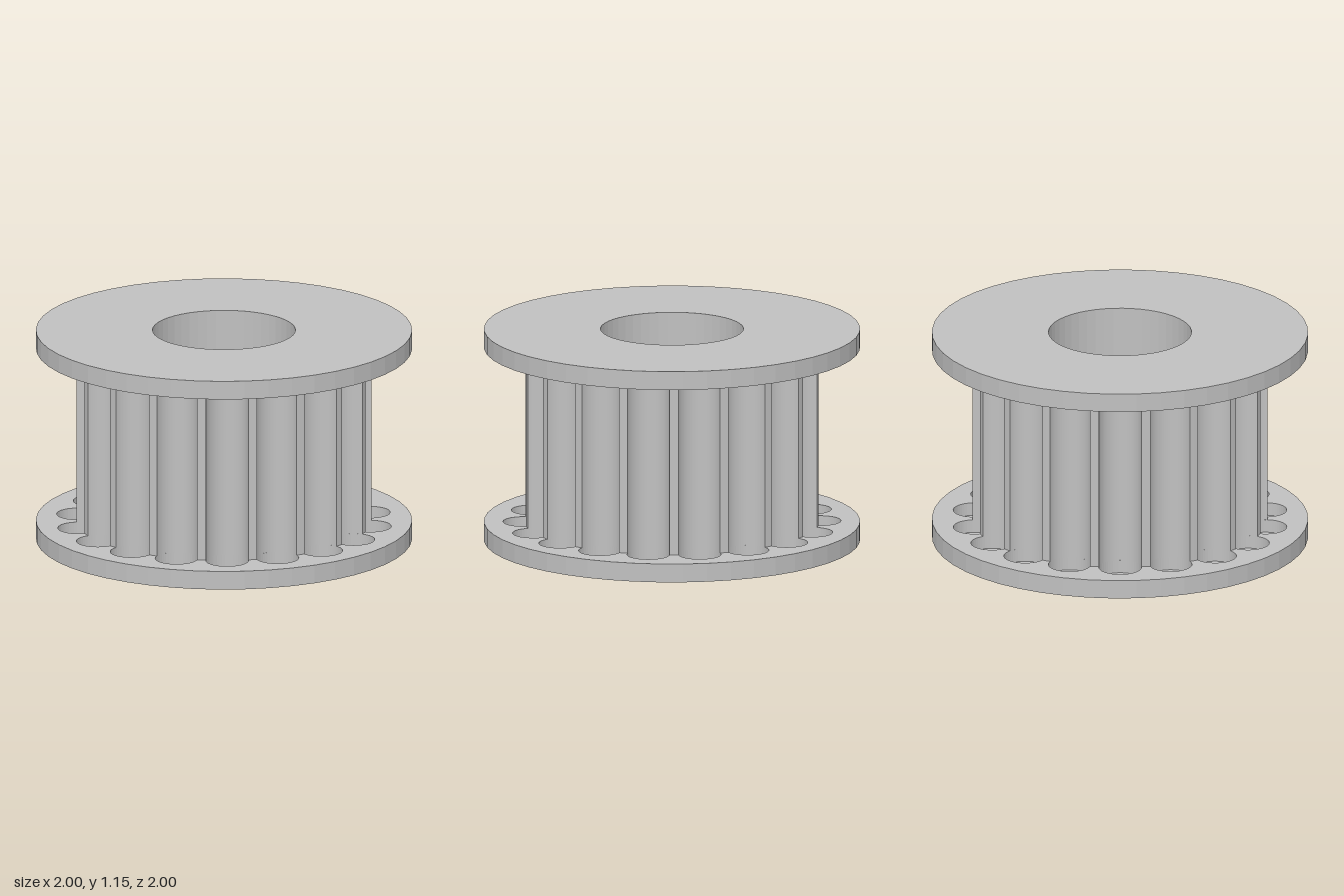
import * as THREE from 'three';

const TEETH = 18, STEP = (Math.PI * 2) / TEETH;
const RIM = 1, BORE = 0.38, CORE = 0.785, GROOVE = 0.113;
const HEIGHT = 1.15, FLANGE = 0.1, POCKET = 0.07;

function circlePath(Type, x, y, r) {
  const p = new Type();
  p.absarc(x, y, r, 0, Math.PI * 2, false);
  return p;
}

// Flange disc with the centre bore
function ringShape() {
  const s = circlePath(THREE.Shape, 0, 0, RIM);
  s.holes.push(circlePath(THREE.Path, 0, 0, BORE));
  return s;
}

// Flange layer where the round grooves run in as pockets
function pocketShape() {
  const s = ringShape();
  for (let i = 0; i < TEETH; i++) {
    const a = i * STEP;
    s.holes.push(circlePath(THREE.Path, CORE * Math.cos(a), CORE * Math.sin(a), GROOVE));
  }
  return s;
}

// Toothed core: round grooves alternating with narrow lands
function coreShape() {
  const s = new THREE.Shape();
  const d = 2 * Math.asin(GROOVE / (2 * CORE)); // half angle of a groove mouth
  const sweep = Math.PI / 2 - d / 2;
  for (let i = 0; i < TEETH; i++) {
    const a = i * STEP;
    s.absarc(CORE * Math.cos(a), CORE * Math.sin(a), GROOVE,
      a + Math.PI + sweep, a + Math.PI - sweep, true);
    s.absarc(0, 0, CORE, a + d, a + STEP - d, false);
  }
  s.holes.push(circlePath(THREE.Path, 0, 0, BORE));
  return s;
}

export function createModel() {
  const group = new THREE.Group();
  const metal = new THREE.MeshStandardMaterial({ color: 0xc0c0c0 });
  metal.name = 'grey metal';

  // Upright slab of a shape between two heights
  const slab = (name, shape, y0, y1) => {
    const g = new THREE.ExtrudeGeometry(shape, { depth: y1 - y0, bevelEnabled: false, curveSegments: 24 });
    g.rotateX(-Math.PI / 2);
    g.translate(0, y0, 0);
    const mesh = new THREE.Mesh(g, metal);
    mesh.name = name;
    group.add(mesh);
  };

  const floor = FLANGE - POCKET;
  slab('lowerFlange', ringShape(), 0, floor);
  slab('lowerFlangePockets', pocketShape(), floor, FLANGE);
  slab('toothedCore', coreShape(), FLANGE, HEIGHT - FLANGE);
  slab('upperFlangePockets', pocketShape(), HEIGHT - FLANGE, HEIGHT - floor);
  slab('upperFlange', ringShape(), HEIGHT - floor, HEIGHT);

  group.name = 'timingPulley';
  return group;
}
